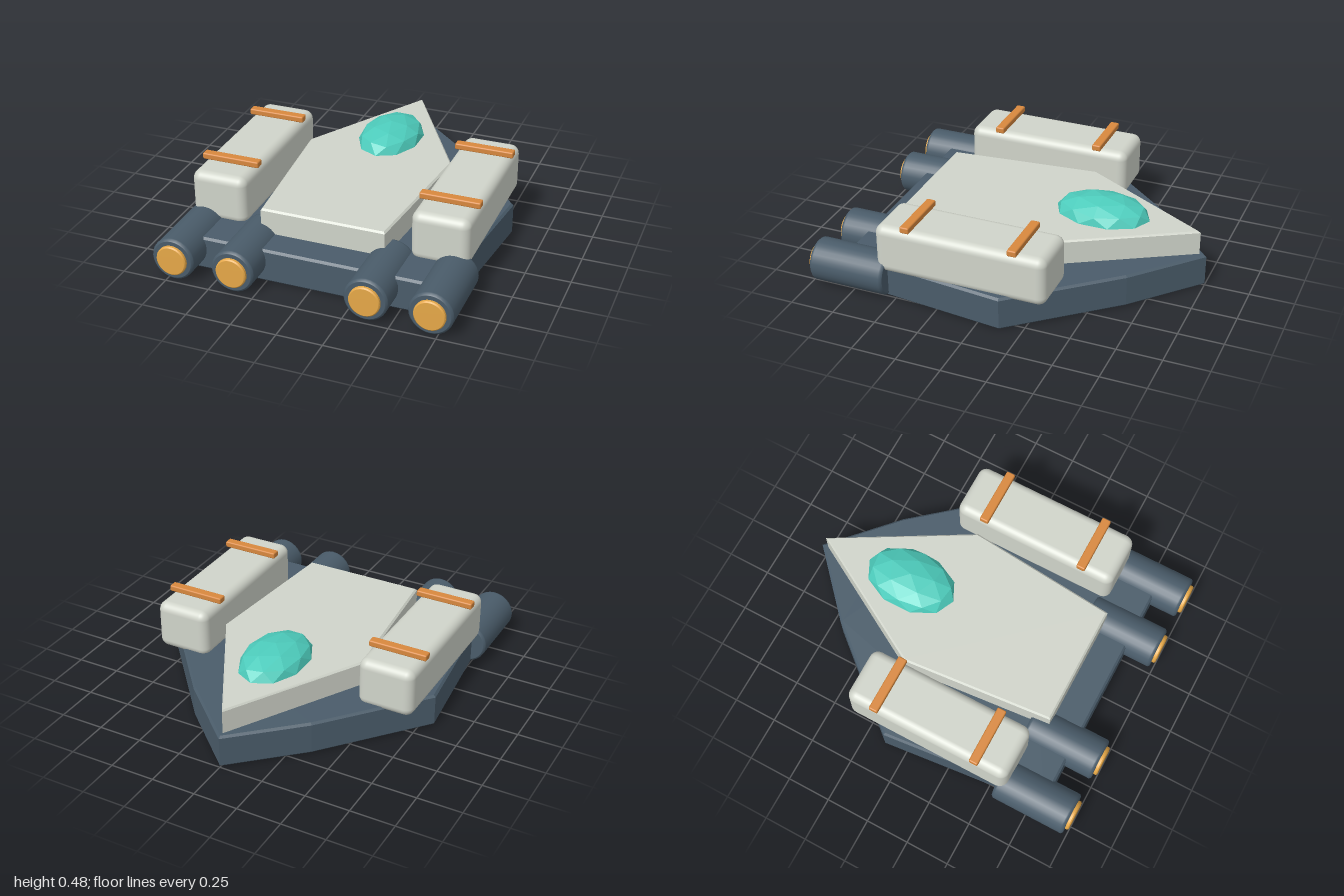
import * as THREE from 'three';
import { RoundedBoxGeometry } from 'three/addons/geometries/RoundedBoxGeometry.js';

const mat = (color, flatShading = false) => new THREE.MeshStandardMaterial({ color, flatShading });
const hullMat = mat(0x4a5c6a, true), engineMat = mat(0x4a5c6a);
const plateMat = mat(0xd0d4ca, true), podMat = mat(0xd0d4ca);
const canopyMat = mat(0x4dccbc, true), bandMat = mat(0xd8883e), glowMat = mat(0xe6a848);

function add(parent, name, geometry, material, x = 0, y = 0, z = 0) {
  const mesh = new THREE.Mesh(geometry, material);
  mesh.name = name;
  mesh.position.set(x, y, z);
  parent.add(mesh);
  return mesh;
}

// Bevelled horizontal slab from a half outline of [x, z], nose first, mirrored over x = 0
function slab(half, y0, y1, bevel) {
  const right = half.map(([x, z]) => new THREE.Vector2(x, -z));
  const left = half.slice(1).reverse().map(([x, z]) => new THREE.Vector2(-x, -z));
  const geometry = new THREE.ExtrudeGeometry(new THREE.Shape([...right, ...left]), {
    depth: y1 - y0 - 2 * bevel, bevelEnabled: true, bevelThickness: bevel,
    bevelSize: bevel, bevelOffset: -bevel, bevelSegments: 1,
  });
  return geometry.rotateX(-Math.PI / 2).translate(0, y0 + bevel, 0);
}

// Closed drum along z with chamfered ends; each profile point is doubled to keep edges crisp
function drum(radius, z0, z1, chamfer) {
  const p = [[0, z0], [radius - chamfer, z0], [radius, z0 + chamfer],
    [radius, z1 - chamfer], [radius - chamfer, z1], [0, z1]];
  const points = p.flatMap(([r, z], i) => {
    const v = new THREE.Vector2(r, z);
    if (i === 0 || i === p.length - 1) return [v];
    const toward = ([a, b]) => v.clone().lerp(new THREE.Vector2(a, b), 0.02);
    return [toward(p[i - 1]), toward(p[i + 1])];
  });
  return new THREE.LatheGeometry(points, 28).rotateX(Math.PI / 2);
}

export function createModel() {
  const ship = new THREE.Group();
  ship.name = 'spaceship';

  // Hull and raised deck, nose toward -z
  add(ship, 'hull', slab([[0, -1], [0.36, -0.67], [0.82, -0.13], [0.72, 0.82]], 0, 0.19, 0.012), hullMat);
  add(ship, 'deck', slab([[0, -0.96], [0.43, -0.21], [0.35, 0.65]], 0.18, 0.33, 0.01), plateMat);

  // Faceted canopy: icosphere turned to stand on a vertex
  const dome = new THREE.IcosahedronGeometry(1, 1)
    .rotateX(-Math.atan((1 + Math.sqrt(5)) / 2)).rotateY(Math.PI / 2).scale(0.18, 0.1, 0.268);
  add(ship, 'canopy', dome, canopyMat, 0, 0.33, -0.405);

  for (const side of [-1, 1]) {
    const label = side > 0 ? 'left' : 'right';

    // Side pod with two straps
    const pod = new THREE.Group();
    pod.name = label + 'PodAssembly';
    pod.position.x = side * 0.625;
    add(pod, 'pod', new RoundedBoxGeometry(0.318, 0.28, 0.97, 4, 0.05), podMat, 0, 0.305, 0.115);
    for (const z of [-0.192, 0.412])
      add(pod, 'strap', new RoundedBoxGeometry(0.332, 0.036, 0.052, 2, 0.008), bandMat, 0, 0.46, z);
    ship.add(pod);

    // Engine pair with glowing nozzles
    for (const x of [0.368, 0.712]) {
      const engine = new THREE.Group();
      engine.name = label + (x > 0.5 ? 'OuterEngine' : 'InnerEngine');
      engine.position.set(side * x, 0.123, 0);
      add(engine, 'engineBody', drum(0.119, 0.545, 0.98, 0.01), engineMat);
      add(engine, 'nozzleGlow', drum(0.085, 0.94, 1.0, 0.006), glowMat);
      ship.add(engine);
    }
  }
  return ship;
}
